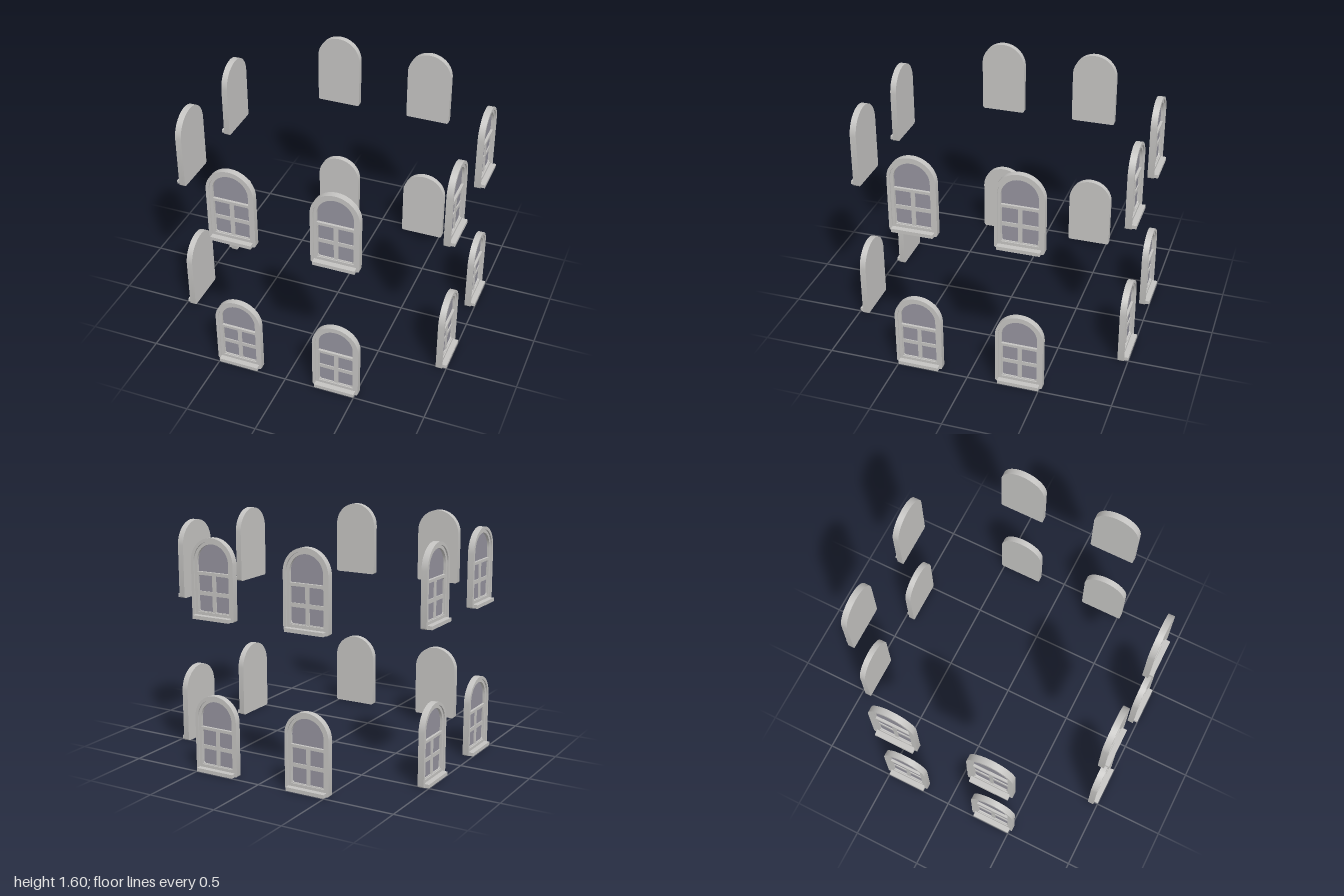
import * as THREE from 'three';
import { toCreasedNormals } from 'three/addons/utils/BufferGeometryUtils.js';

const SPRING = 0.377; // height where the arch begins

// Round-headed outline: half width, bottom height, bottom corner radius
function arch(Type, r, bottom, corner = 0) {
  const s = new Type();
  s.moveTo(-r + corner, bottom);
  s.lineTo(r - corner, bottom);
  if (corner) s.quadraticCurveTo(r, bottom, r, bottom + corner);
  s.lineTo(r, SPRING);
  s.absarc(0, SPRING, r, 0, Math.PI, false);
  s.lineTo(-r, bottom + corner);
  if (corner) s.quadraticCurveTo(-r, bottom, -r + corner, bottom);
  return s;
}

function roundedRect(Type, x0, y0, x1, y1, c) {
  const s = new Type();
  s.moveTo(x0 + c, y0);
  s.lineTo(x1 - c, y0);
  s.quadraticCurveTo(x1, y0, x1, y0 + c);
  s.lineTo(x1, y1 - c);
  s.quadraticCurveTo(x1, y1, x1 - c, y1);
  s.lineTo(x0 + c, y1);
  s.quadraticCurveTo(x0, y1, x0, y1 - c);
  s.lineTo(x0, y0 + c);
  s.quadraticCurveTo(x0, y0, x0 + c, y0);
  return s;
}

// Extrude a shape between two depths, smooth on curves and sharp on edges
function slab(shape, z0, z1, holes = []) {
  shape.holes.push(...holes);
  const g = new THREE.ExtrudeGeometry(shape, { depth: z1 - z0, bevelEnabled: false, curveSegments: 20 });
  g.translate(0, 0, z0);
  return toCreasedNormals(g, 0.6);
}

function box(x0, x1, y0, y1, z0, z1) {
  const g = new THREE.BoxGeometry(x1 - x0, y1 - y0, z1 - z0);
  g.translate((x0 + x1) / 2, (y0 + y1) / 2, (z0 + z1) / 2);
  return g;
}

export function createModel() {
  const stone = new THREE.MeshStandardMaterial({ color: 0xc4c3c1 });
  stone.name = 'paleGrey';
  const glass = new THREE.MeshStandardMaterial({ color: 0x94929d });
  glass.name = 'greyGlass';

  const { Shape, Path } = THREE;
  // Depths are distances from the centre of the whole arrangement
  const parts = [
    ['backPlate', slab(arch(Shape, 0.165, 0, 0.018), 0.928, 0.94), stone],
    ['outerFrame', slab(arch(Shape, 0.165, 0, 0.018), 0.94, 0.972, [arch(Path, 0.144, 0.025)]), stone],
    ['innerFrame', slab(arch(Shape, 0.144, 0.025), 0.94, 0.962, [arch(Path, 0.123, 0.045)]), stone],
    ['glassPane', slab(arch(Shape, 0.123, 0.045), 0.94, 0.944), glass],
    ['sill', box(-0.143, 0.143, 0, 0.025, 0.965, 1.0), stone],
    ['meetingRail', box(-0.123, 0.123, 0.294, 0.313, 0.944, 0.962), stone],
    // Thin border of the lower sash with softened corners
    ['lowerSash', slab(roundedRect(Shape, -0.123, 0.045, 0.123, 0.294, 0.001), 0.944, 0.954,
      [roundedRect(Path, -0.119, 0.049, 0.119, 0.29, 0.016)]), stone],
    ['verticalBar', box(-0.014, 0.014, 0.047, 0.294, 0.944, 0.951), stone],
    ['horizontalBar', box(-0.121, 0.121, 0.155, 0.182, 0.944, 0.9505), stone],
  ];

  const model = new THREE.Group();
  model.name = 'archedWindows';
  // Two storeys of two windows on each of four sides
  for (let side = 0; side < 4; side++) {
    const wall = new THREE.Group();
    wall.name = ['front', 'left', 'back', 'right'][side] + 'Windows';
    wall.rotation.y = side * Math.PI / 2;
    for (const y of [0, 1.062]) {
      for (const x of [-0.355, 0.355]) {
        const win = new THREE.Group();
        win.name = 'window';
        win.position.set(x, y, 0);
        for (const [name, geometry, material] of parts) {
          const mesh = new THREE.Mesh(geometry, material);
          mesh.name = name;
          win.add(mesh);
        }
        wall.add(win);
      }
    }
    model.add(wall);
  }
  return model;
}
